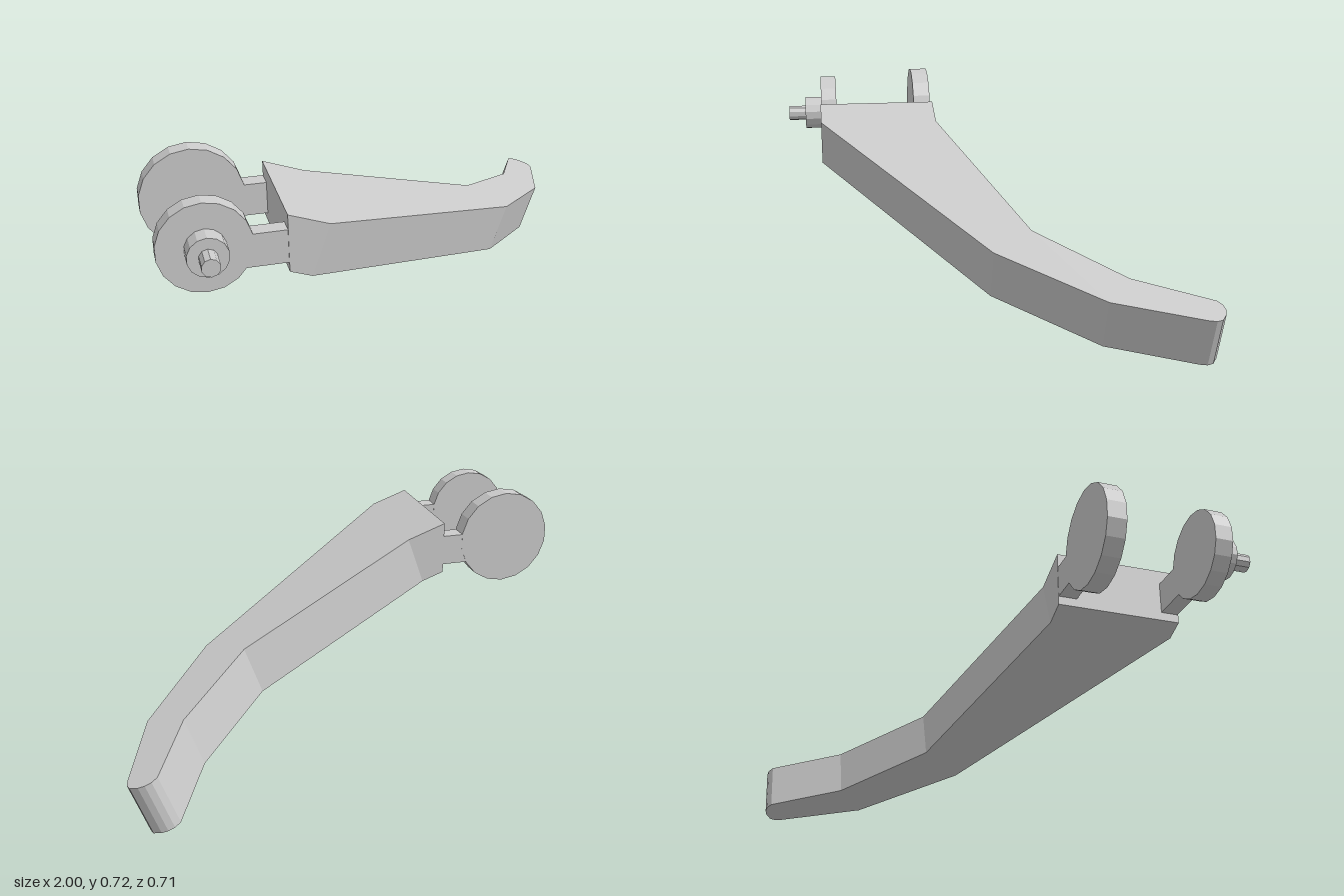
import * as THREE from 'three';

const material = new THREE.MeshStandardMaterial({ color: 0xcccccc, flatShading: true });

function addMesh(parent, name, geometry, x = 0, y = 0, z = 0) {
  const mesh = new THREE.Mesh(geometry, material);
  mesh.name = name;
  mesh.position.set(x, y, z);
  parent.add(mesh);
  return mesh;
}

// Cylinder whose axis runs along z
const disc = (radius, depth, sides) =>
  new THREE.CylinderGeometry(radius, radius, depth, sides).rotateX(Math.PI / 2);

const END = -0.47; // vertical hinge end of the lever
const PIVOT_Y = 0.553;

// Bent lever: plan outline extruded, then sheared onto a sloping plane
function leverGeometry() {
  const outline = [
    [END, 0.527], [-0.34, 0.527], [0.453, -0.008], [0.708, -0.327],
    [0.808, -0.61], [0.813, -0.635], [0.808, -0.655], [0.785, -0.673],
    [0.765, -0.679], [0.744, -0.677], [0.724, -0.664],
    [0.604, -0.419], [0.348, -0.153], [-0.33, 0.092], [END, 0.092],
  ].map(([x, z]) => new THREE.Vector2(x, z));
  const geometry = new THREE.ExtrudeGeometry(new THREE.Shape(outline), { depth: 1, bevelEnabled: false });
  geometry.rotateX(Math.PI / 2);
  const p = geometry.attributes.position;
  for (let i = 0; i < p.count; i++) {
    const bottom = p.getY(i) < -0.5;
    let x = p.getX(i);
    // Walls lean with the slope, except at the upright hinge end
    if (bottom && x > END + 0.01) x -= 0.0605;
    p.setX(i, x);
    p.setY(i, 0.463 - 0.357 * x - (bottom ? 0.191 : 0));
  }
  geometry.computeVertexNormals();
  return geometry;
}

// Hinge arm: round plate with a short neck reaching the lever
function addArm(parent, name, x, z, radius, thickness) {
  const arm = new THREE.Group();
  arm.name = name;
  parent.add(arm);
  addMesh(arm, 'hingePlate', disc(radius, thickness, 18), x, PIVOT_Y, z);
  const start = x + radius * 0.6;
  const length = END + 0.02 - start;
  addMesh(arm, 'hingeNeck', new THREE.BoxGeometry(length, 0.11, thickness * 0.98),
    start + length / 2, 0.525, z);
}

export function createModel() {
  const model = new THREE.Group();
  model.name = 'lever';
  const body = new THREE.Group();
  body.name = 'leverAssembly';
  body.rotation.y = THREE.MathUtils.degToRad(-23);
  model.add(body);

  addMesh(body, 'leverBody', leverGeometry());
  addArm(body, 'backArm', -0.713, 0.125, 0.172, 0.065);
  addArm(body, 'frontArm', -0.72, 0.494, 0.147, 0.06);

  // Stepped pivot pin on the front plate
  addMesh(body, 'pinCollar', disc(0.064, 0.07, 14), -0.718, PIVOT_Y, 0.553);
  addMesh(body, 'pinTip', disc(0.029, 0.08, 10), -0.718, PIVOT_Y, 0.614);

  return model;
}
